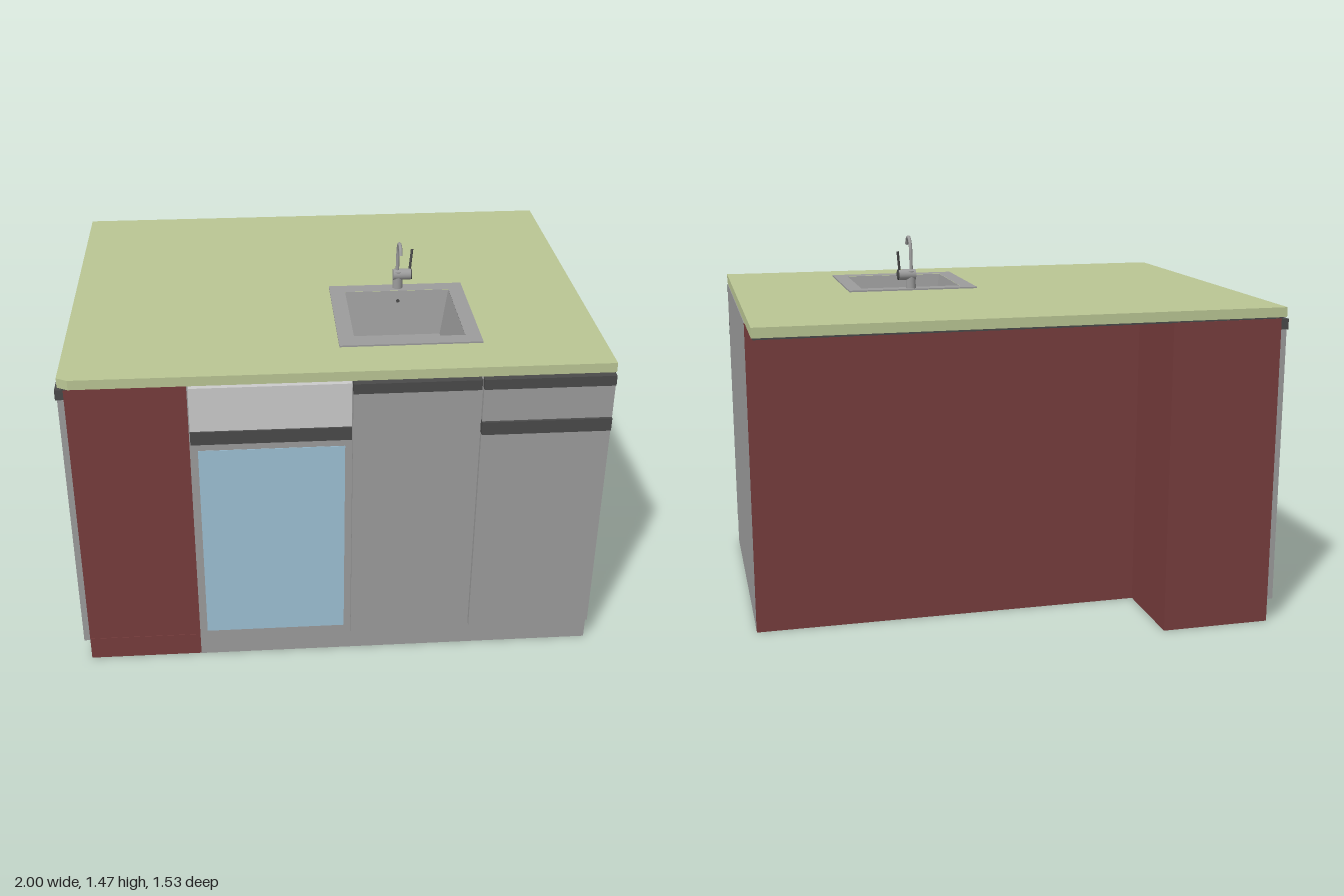
import * as THREE from 'three';

const mat = (color, side = THREE.FrontSide) =>
  new THREE.MeshStandardMaterial({ color, side });

export function createModel() {
  const root = new THREE.Group();
  const grey = mat(0x9c9c9c), light = mat(0xcccccc), dark = mat(0x4a4a4a);
  const red = mat(0x773d3d), green = mat(0xbac694), glass = mat(0x9dc0d4);
  const basinMat = mat(0x9c9c9c, THREE.DoubleSide);

  const add = (name, geometry, material, parent = root) => {
    const mesh = new THREE.Mesh(geometry, material);
    mesh.name = name;
    parent.add(mesh);
    return mesh;
  };
  // Box given by its limits on each axis
  const box = (name, material, [x0, x1], [y0, y1], [z0, z1], parent = root) => {
    const m = add(name, new THREE.BoxGeometry(x1 - x0, y1 - y0, z1 - z0), material, parent);
    m.position.set((x0 + x1) / 2, (y0 + y1) / 2, (z0 + z1) / 2);
    return m;
  };
  // Flat plate with a rectangular cut-out, outline in (x, z)
  const plate = (name, material, outline, [hx0, hx1, hz0, hz1], y0, y1) => {
    const toV = ([x, z]) => new THREE.Vector2(x, -z);
    const shape = new THREE.Shape(outline.map(toV));
    shape.holes.push(new THREE.Path([[hx0, hz0], [hx1, hz0], [hx1, hz1], [hx0, hz1]].map(toV)));
    const g = new THREE.ExtrudeGeometry(shape, { depth: y1 - y0, bevelEnabled: false });
    g.rotateX(-Math.PI / 2).translate(0, y0, 0);
    return add(name, g, material);
  };

  // Cabinet shell: hollow L-shaped plan with a deep pillar at the back
  const L = -0.97, R = 0.995, F = 0.735, B = -0.4, BB = -0.76, P = -0.54, T = 1.207, t = 0.02;
  box('rightEndPanel', grey, [R - t, R], [0, T], [B, F]);
  box('frontPanel', grey, [P, R - t], [0.085, T], [F - t, F]);
  box('frontPlinth', grey, [P, R - t], [0, 0.085], [F - t, F]);
  box('sidePanel', grey, [L, L + t], [0.09, T], [BB + 0.004, F - t]);
  box('sidePlinth', grey, [L, L + t], [0, 0.09], [BB + 0.004, F - t]);
  box('frontCladding', red, [L, P], [0.097, T], [F - t, F]);
  box('claddingPlinth', red, [L, P], [0, 0.094], [F - t, F - 0.002]);
  box('backPanel', red, [P, R], [0, T], [B - 0.004, B + t]);
  box('pillarSide', red, [P - t, P], [0, T], [BB, B]);
  box('pillarBack', red, [L, P], [0, T], [BB - 0.002, BB + t]);
  box('cabinetFloor', grey, [L + t, R - t], [0.07, 0.09], [B + t, F - t]);
  box('pillarFloor', grey, [L + t, P - t], [0.07, 0.09], [BB + t, B + t]);

  // Front units: oven, tall door, drawer and door
  const z = [F, 0.757], zh = [F, 0.764];
  const unit = (name) => {
    const g = new THREE.Group();
    g.name = name;
    root.add(g);
    return g;
  };
  const oven = unit('oven');
  box('controlPanel', light, [-0.535, 0.045], [1.03, 1.205], z, oven);
  box('ovenHandle', dark, [-0.535, 0.045], [0.978, 1.03], zh, oven);
  box('ovenDoor', grey, [-0.535, 0.045], [0.085, 0.975], z, oven);
  box('ovenGlass', glass, [-0.51, 0.022], [0.13, 0.95], [0.75, 0.759], oven);

  const tall = unit('sinkCabinet');
  box('tallHandle', dark, [0.05, 0.51], [1.165, 1.205], zh, tall);
  box('tallDoor', grey, [0.05, 0.51], [0.085, 1.163], z, tall);

  const drawers = unit('drawerCabinet');
  box('drawerHandle', dark, [0.518, R], [1.165, 1.205], zh, drawers);
  box('drawerFront', grey, [0.518, R], [1.032, 1.163], z, drawers);
  box('doorHandle', dark, [0.518, R], [0.978, 1.03], zh, drawers);
  box('lowerDoor', grey, [0.518, R], [0.1, 0.975], z, drawers);

  // Glazed doors on the side
  [[BB, -0.047, -0.7, -0.15], [-0.043, F, 0.06, 0.66]].forEach(([a, b, g0, g1]) => {
    const door = unit('sideDoor');
    box('sideDoorPanel', grey, [-0.993, L], [0.09, 1.163], [a, b], door);
    box('sideDoorGlass', glass, [-0.996, -0.985], [0.25, 1.085], [g0, g1], door);
    box('sideDoorHandle', dark, [-1, L], [1.165, 1.205], [a, b], door);
  });

  // Worktop with a clipped front corner, on a thin base board
  const hole = [0.07, 0.49, 0.085, 0.505];
  plate('worktop', green,
    [[-0.99, -0.765], [R, -0.765], [R, 0.752], [-0.95, 0.752], [-0.99, 0.73]], hole, 1.213, 1.25);
  plate('worktopBase', dark,
    [[-0.975, -0.76], [0.99, -0.76], [0.99, 0.738], [-0.975, 0.738]], hole, 1.206, 1.213);

  // Sink: flat rim and a tapered basin
  plate('sinkRim', grey,
    [[0.015, 0.03], [0.545, 0.03], [0.545, 0.56], [0.015, 0.56]], [0.075, 0.487, 0.09, 0.502], 1.25, 1.256);
  const basin = new THREE.CylinderGeometry(0.206 * Math.SQRT2, 0.174 * Math.SQRT2, 0.18, 4, 1, true)
    .rotateY(Math.PI / 4).toNonIndexed();
  basin.computeVertexNormals();
  add('sinkBasin', basin, basinMat).position.set(0.281, 1.165, 0.296);
  box('sinkFloor', grey, [0.107, 0.455], [1.07, 1.076], [0.122, 0.47]);
  add('sinkDrain', new THREE.CylinderGeometry(0.01, 0.01, 0.004, 16), dark).position.set(0.285, 1.077, 0.21);
  const overflow = add('overflowHole', new THREE.CylinderGeometry(0.007, 0.007, 0.004, 16), dark);
  overflow.rotation.x = Math.PI / 2;
  overflow.position.set(0.285, 1.215, 0.098);

  // Mixer tap: body, side valve, lever and curved spout
  const tap = unit('tap');
  add('tapBody', new THREE.CylinderGeometry(0.02, 0.02, 0.075, 24), grey, tap).position.set(0.287, 1.29, 0.057);
  const valve = add('tapValve', new THREE.CylinderGeometry(0.022, 0.022, 0.07, 24), grey, tap);
  valve.rotation.z = Math.PI / 2;
  valve.position.set(0.303, 1.312, 0.057);
  const cap = add('tapValveCap', new THREE.CylinderGeometry(0.021, 0.021, 0.006, 24), dark, tap);
  cap.rotation.z = Math.PI / 2;
  cap.position.set(0.339, 1.312, 0.057);
  const v = (x, y, z) => new THREE.Vector3(x, y, z);
  add('tapLever', new THREE.TubeGeometry(
    new THREE.LineCurve3(v(0.333, 1.315, 0.055), v(0.344, 1.41, 0.036)), 1, 0.005, 8), dark, tap);
  add('tapSpout', new THREE.TubeGeometry(new THREE.CatmullRomCurve3([
    v(0.285, 1.3, 0.057), v(0.285, 1.37, 0.06), v(0.285, 1.425, 0.068), v(0.285, 1.453, 0.088),
    v(0.285, 1.459, 0.112), v(0.285, 1.45, 0.136), v(0.285, 1.428, 0.15),
  ]), 32, 0.007, 12), grey, tap);

  return root;
}
